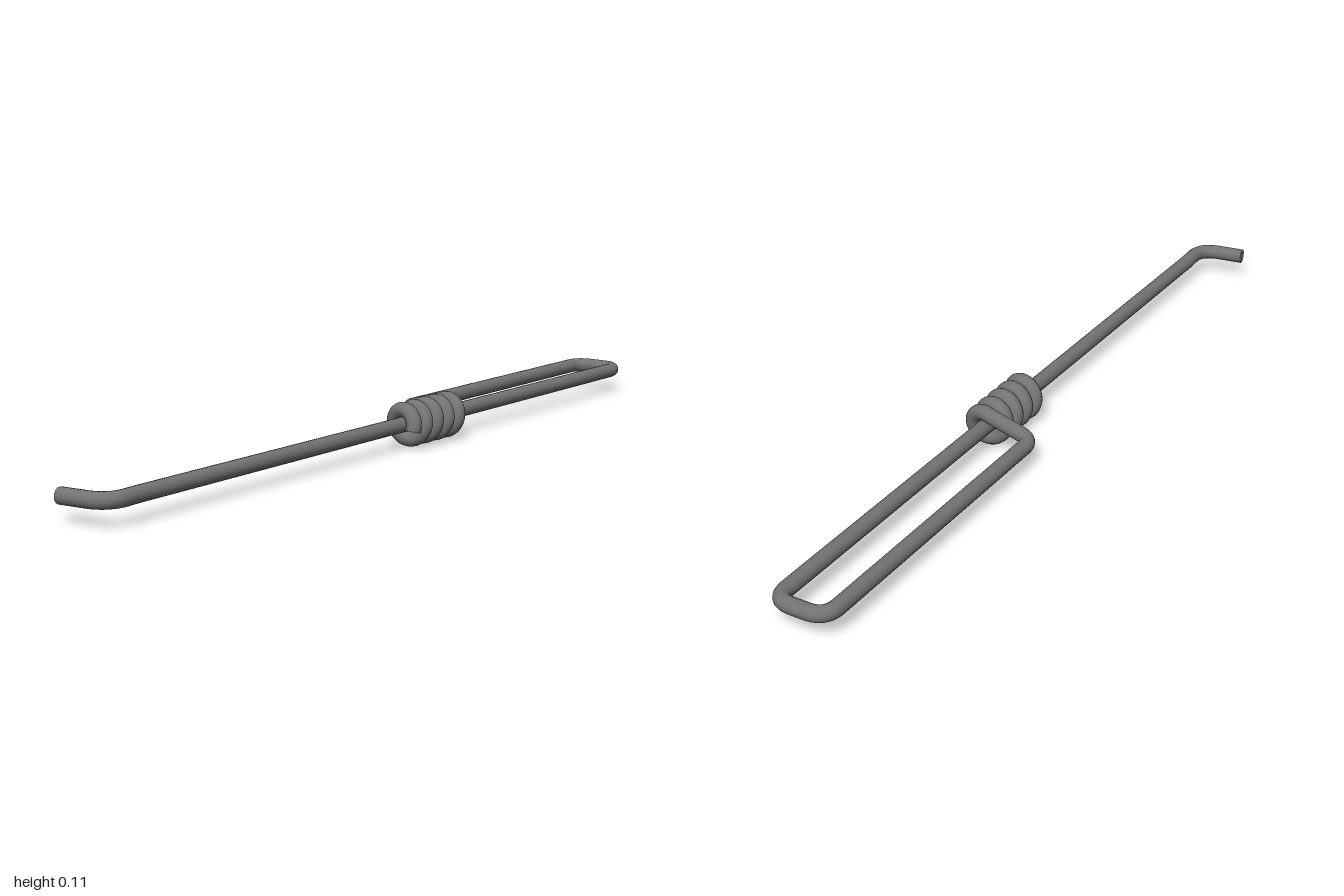
import * as THREE from 'three';

const WIRE = 0.0185;            // wire radius
const Y = 0.058;                // height of the wire's centre line
const FRONT = 0.043, BACK = -0.083;
const v = (x, y, z) => new THREE.Vector3(x, y, z);

// Straight runs joined by rounded corners; each point is [position, corner cut length]
function roundedPath(points) {
  const path = new THREE.CurvePath();
  let from = points[0][0];
  for (let i = 1; i < points.length; i++) {
    const [p, cut] = points[i];
    if (i === points.length - 1) {
      path.add(new THREE.LineCurve3(from, p));
      break;
    }
    const enter = p.clone().add(points[i - 1][0].clone().sub(p).setLength(cut));
    const leave = p.clone().add(points[i + 1][0].clone().sub(p).setLength(cut));
    path.add(new THREE.LineCurve3(from, enter));
    path.add(new THREE.QuadraticBezierCurve3(enter, p, leave));
    from = leave;
  }
  return path;
}

export function createModel() {
  const model = new THREE.Group();
  const steel = new THREE.MeshStandardMaterial({ color: 0x737373 });
  steel.name = 'grey steel';

  const addWire = (name, path, segments) => {
    const mesh = new THREE.Mesh(new THREE.TubeGeometry(path, segments, WIRE, 16, false), steel);
    mesh.name = name;
    model.add(mesh);
  };
  // Flat cut end of the wire
  const addCap = (name, position, direction) => {
    const cap = new THREE.Mesh(new THREE.CircleGeometry(WIRE, 16), steel);
    cap.name = name;
    cap.position.copy(position);
    cap.quaternion.setFromUnitVectors(v(0, 0, 1), direction);
    model.add(cap);
  };

  // Hook, long shaft and the elongated loop that returns along the back
  const shaft = roundedPath([
    [v(-0.983, Y, -0.072), 0],
    [v(-0.966, Y, 0.048), 0.055],
    [v(-0.88, Y, FRONT), 0.02],
    [v(0.98, Y, FRONT), 0.045],
    [v(0.98, Y, BACK), 0.045],
    [v(0.21, Y, BACK), 0],
  ]);
  addWire('hookShaftAndLoop', shaft, 500);
  addCap('hookEnd', shaft.getPoint(0), shaft.getTangent(0).negate());

  // Coil wound around the shaft: over the top, down the front, up the back
  const radius = 0.037, pitch = 0.044, start = -0.29, end = 8.5 * Math.PI + 0.25;
  const coilPoints = [];
  for (let i = 0; i <= 90; i++) {
    const a = start + (end - start) * i / 90;
    coilPoints.push(v(0.177 - pitch * a / (2 * Math.PI), 0.0565 + radius * Math.cos(a), 0.045 + radius * Math.sin(a)));
  }
  const coil = roundedPath([
    [v(0.23, Y, BACK), 0],
    [v(0.179, Y, BACK), 0.035],
    [coilPoints[0], 0],
  ]);
  coil.add(new THREE.CatmullRomCurve3(coilPoints));
  addWire('wrappedCoil', coil, 320);
  addCap('coilEnd', coil.getPoint(1), coil.getTangent(1));

  return model;
}
